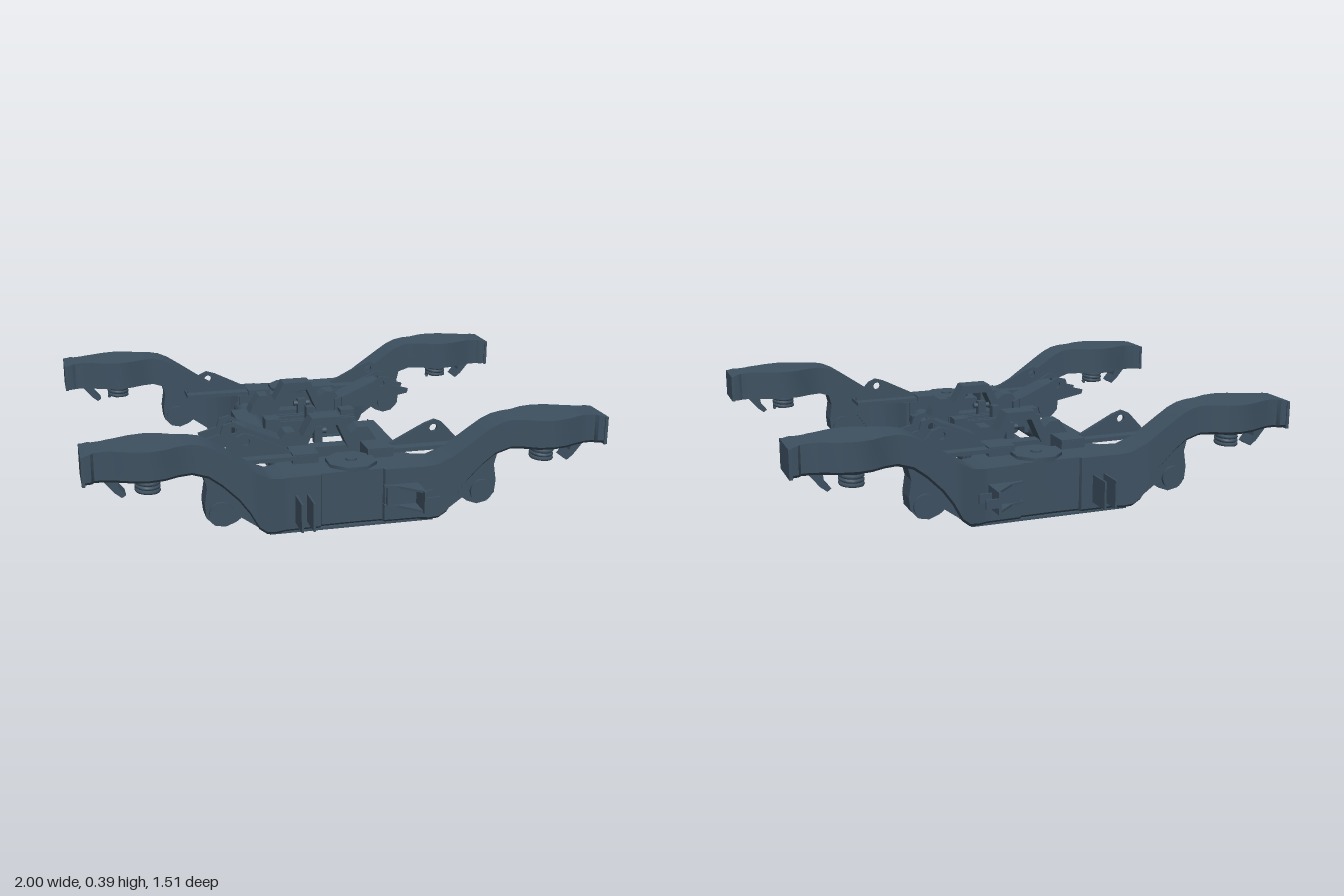
import * as THREE from 'three';
import { toCreasedNormals } from 'three/addons/utils/BufferGeometryUtils.js';

const steel = new THREE.MeshStandardMaterial({ color: 0x3d5060, side: THREE.DoubleSide });
steel.name = 'blueGreySteel';

function add(parent, name, geometry, x = 0, y = 0, z = 0) {
  const mesh = new THREE.Mesh(geometry, steel);
  mesh.name = name;
  mesh.position.set(x, y, z);
  parent.add(mesh);
  return mesh;
}

// Box given by its limits on each axis
function box(parent, name, [x0, x1], [y0, y1], [z0, z1]) {
  const g = new THREE.BoxGeometry(Math.abs(x1 - x0), y1 - y0, Math.abs(z1 - z0));
  return add(parent, name, g, (x0 + x1) / 2, (y0 + y1) / 2, (z0 + z1) / 2);
}

// Plate with an x-y outline, thickened from z0 to z1, with optional round holes [x, y, r]
function plate(parent, name, points, z0, z1, holes = []) {
  const shape = new THREE.Shape(points.map(p => new THREE.Vector2(...p)));
  for (const [x, y, r] of holes) shape.holes.push(new THREE.Path().absarc(x, y, r, 0, Math.PI * 2));
  const g = new THREE.ExtrudeGeometry(shape, { depth: z1 - z0, bevelEnabled: false, curveSegments: 8 });
  return add(parent, name, g, 0, 0, z0);
}

// Piecewise linear lookup with smoothed steps
function lookup(table, x) {
  for (let i = 1; i < table.length; i++) {
    const [x0, v0] = table[i - 1], [x1, v1] = table[i];
    if (x <= x1) return v0 + (v1 - v0) * (x - x0) / (x1 - x0);
  }
  return table[table.length - 1][1];
}

const TOP = [[0, .225], [.27, .225], [.32, .234], [.38, .268], [.48, .337], [.53, .37], [.57, .388], [.61, .396], [.9, .396], [.97, .391], [1, .383]];
const BOTTOM = [[0, .008], [.3, .008], [.335, .015], [.365, .04], [.4, .105], [.44, .16], [.5, .22], [.55, .258], [.61, .277], [1, .277]];
const INNER = [[0, .445], [.24, .45], [.27, .49], [.32, .53], [.38, .557], [.61, .56], [.66, .548], [.71, .522], [.765, .512], [.82, .522], [.88, .548], [.92, .561], [.955, .561], [.965, .553], [1, .547]];
const OUTER = [[0, .63], [.12, .632], [.125, .645], [.26, .648], [.38, .683], [.61, .684], [.66, .695], [.71, .722], [.765, .732], [.82, .722], [.88, .697], [.92, .684], [.955, .684], [.965, .696], [1, .703]];

// Beam lofted along x from cross-sections with chamfered lower edges
function beamGeometry() {
  const half = [...new Set([TOP, BOTTOM, INNER, OUTER].flat().map(p => p[0]))].sort((a, b) => a - b);
  const xs = [...half.slice(1).reverse().map(x => -x), ...half];
  const pos = [], idx = [];
  for (const x of xs) {
    const [t, b, i, o] = [TOP, BOTTOM, INNER, OUTER].map(k => lookup(k, Math.abs(x)));
    const c = .012;
    pos.push(x, b, i, x, b, o - c, x, b + c, o, x, t, o, x, t, i);
  }
  const n = 5, last = (xs.length - 1) * n;
  for (let s = 0; s < xs.length - 1; s++) {
    for (let j = 0; j < n; j++) {
      const a = s * n + j, b = s * n + (j + 1) % n;
      idx.push(a, a + n, b, b, a + n, b + n);
    }
  }
  for (let j = 1; j < n - 1; j++) idx.push(0, j, j + 1, last, last + j + 1, last + j);
  const g = new THREE.BufferGeometry();
  g.setAttribute('position', new THREE.Float32BufferAttribute(pos, 3));
  g.setIndex(idx);
  return toCreasedNormals(g, .6);
}

class Coil extends THREE.Curve {
  getPoint(t, target = new THREE.Vector3()) {
    const a = t * Math.PI * 8;
    return target.set(Math.cos(a) * .04, .215 + t * .062, Math.sin(a) * .04);
  }
}

// One side frame facing +z; m = -1 mirrors its details in x
function sideFrame(m) {
  const f = new THREE.Group();
  f.name = 'sideFrame';
  const rx = (a, b) => [m * a, m * b];
  const mp = (pts, s) => pts.map(([x, y]) => [s * x, y]);
  add(f, 'sideBeam', beamGeometry());
  box(f, 'bottomPlate', [-.32, .32], [.002, .01], [.435, .64]);

  for (const s of [-1, 1]) {
    // Axle guide below the arm, with a round boss
    plate(f, 'axleGuide', mp([[.36, .04], [.43, .09], [.45, .075], [.49, .06], [.53, .068], [.56, .1], [.565, .15], [.555, .215], [.57, .275], [.5, .25], [.4, .15]], s), .575, .66);
    const boss = add(f, 'guideBoss', new THREE.CylinderGeometry(.045, .045, .11, 20), s * .505, .115, .618);
    boss.rotation.x = Math.PI / 2;
    // Spring and its seats
    add(f, 'spring', new THREE.TubeGeometry(new Coil(), 72, .008, 6), s * .765, 0, .622);
    add(f, 'springSeat', new THREE.CylinderGeometry(.058, .058, .012, 20), s * .765, .273, .622);
    add(f, 'springCore', new THREE.CylinderGeometry(.028, .028, .06, 12), s * .765, .245, .622);
    // Hooked stop outside the spring
    plate(f, 'stopHook', mp([[.93, .28], [.885, .225], [.86, .205], [.845, .215], [.87, .245], [.875, .28]], s), .59, .655);
    // End flange
    box(f, 'endFlange', [s * .988, s * 1], [.275, .385], [.545, .705]);
    // Inner shelf with an upright rib
    const near = (s * m > 0) ? .095 : .1;
    box(f, 'innerShelf', [s * near, s * .475], [.24, .256], [.405, .51]);
    box(f, 'shelfBlock', [s * near, s * .2], [.2, .262], [.4, .508]);
    plate(f, 'shelfRib', mp([[.2, .25], [.2, .265], [.34, .335], [.38, .348], [.41, .335], [.47, .27], [.47, .25]], s), .45, .466, [[s * .375, .315, .016]]);
    plate(f, 'shelfBrace', mp([[.12, .12], [.12, .24], [.24, .24], [.24, .15], [.21, .12]], s), .4, .41);
  }

  // Centre pivot
  const pad = add(f, 'pivotPad', new THREE.CylinderGeometry(.1, .1, .018, 8), m * .02, .229, .538);
  pad.rotation.y = Math.PI / 8;
  add(f, 'pivotPin', new THREE.CylinderGeometry(.022, .022, .01, 20), m * .02, .24, .538);

  // Outer face: upright fins and a tapered bracket
  for (const x of [-.22, -.175]) box(f, 'outerFin', rx(x - .004, x + .004), [.045, .155], [.62, .75]);
  const top = new THREE.Shape([[.12, .63], [.12, .655], [.17, .67], [.245, .74], [.255, .74], [.255, .63]].map(([x, z]) => new THREE.Vector2(m * x, z)));
  for (const y of [.085, .163]) {
    const shelf = add(f, 'bracketShelf', new THREE.ExtrudeGeometry(top, { depth: .009, bevelEnabled: false }), 0, y, 0);
    shelf.rotation.x = Math.PI / 2;
  }
  box(f, 'bracketSide', rx(.245, .255), [.076, .163], [.63, .757]);
  box(f, 'bracketCore', rx(.13, .245), [.08, .16], [.62, .66]);
  box(f, 'bracketTab', rx(.25, .305), [.105, .14], [.748, .757]);
  box(f, 'bracketTab', rx(.25, .305), [.105, .14], [.675, .684]);
  return f;
}

// Half of the cross structure, repeated by a half turn
function crossHalf() {
  const h = new THREE.Group();
  h.name = 'crossHalf';
  // Long box beside the tube
  box(h, 'longBox', [.21, .285], [.075, .21], [-.005, .295]);
  box(h, 'boxEndPlate', [.27, .276], [.1, .2], [-.05, 0]);
  // Trapezoid cross beam between the tubes
  const z0 = .225, z1 = .3;
  plate(h, 'crossBeam', [[-.22, .2], [-.2, .24], [-.17, .285], [-.13, .285], [-.1, .262], [-.06, .335], [.06, .335], [.1, .262], [.13, .285], [.17, .285], [.2, .24], [.22, .2], [.09, .2], [.045, .3], [-.045, .3], [-.09, .2]], z0, z1);
  box(h, 'crossBeamWeb', [-.2, .18], [.12, .21], [z0 + .01, z1 - .01]);
  // Twin-pronged arm reaching outwards
  for (const z of [.202, .296]) {
    plate(h, 'armProng', [[-.2, .2], [-.3, .225], [-.5, .262], [-.505, .28], [-.43, .3], [-.42, .335], [-.38, .345], [-.345, .325], [-.2, .262]], z, z + .013, [[-.38, .312, .014]]);
  }
  plate(h, 'armBlock', [[-.17, .19], [-.37, .232], [-.37, .325], [-.32, .315], [-.17, .25]], .21, .3);
  // Small pin post at the beam
  box(h, 'pinPost', [-.03, .005], [.2, .27], [.185, .215]);
  const pin = add(h, 'pin', new THREE.CylinderGeometry(.012, .012, .07, 12), -.013, .25, .2);
  pin.rotation.z = Math.PI / 2;
  // Paired link plates across the middle
  for (const z of [.02, .045]) box(h, 'linkPlate', [-.2, .19], [.205, .25], [z, z + .01]);
  box(h, 'linkLug', [-.2, -.14], [.16, .265], [.005, .06]);
  return h;
}

export function createModel() {
  const root = new THREE.Group();
  root.name = 'wheelTruckFrame';
  const front = sideFrame(1), back = sideFrame(-1);
  back.rotation.y = Math.PI;
  root.add(front, back);

  const a = crossHalf(), b = crossHalf();
  b.rotation.y = Math.PI;
  a.position.x = b.position.x = -.015;
  root.add(a, b);

  // Two round tubes joining the side frames
  for (const x of [-.215, .185]) {
    const tube = add(root, 'crossTube', new THREE.CylinderGeometry(.041, .041, .94, 28), x, .165, 0);
    tube.rotation.x = Math.PI / 2;
    for (const z of [-.26, .26]) {
      const collar = add(root, 'tubeCollar', new THREE.CylinderGeometry(.047, .047, .08, 28), x, .165, z);
      collar.rotation.x = Math.PI / 2;
    }
  }
  // Centre post on the links
  box(root, 'centrePost', [-.03, 0], [.2, .295], [-.018, .018]);
  return root;
}
